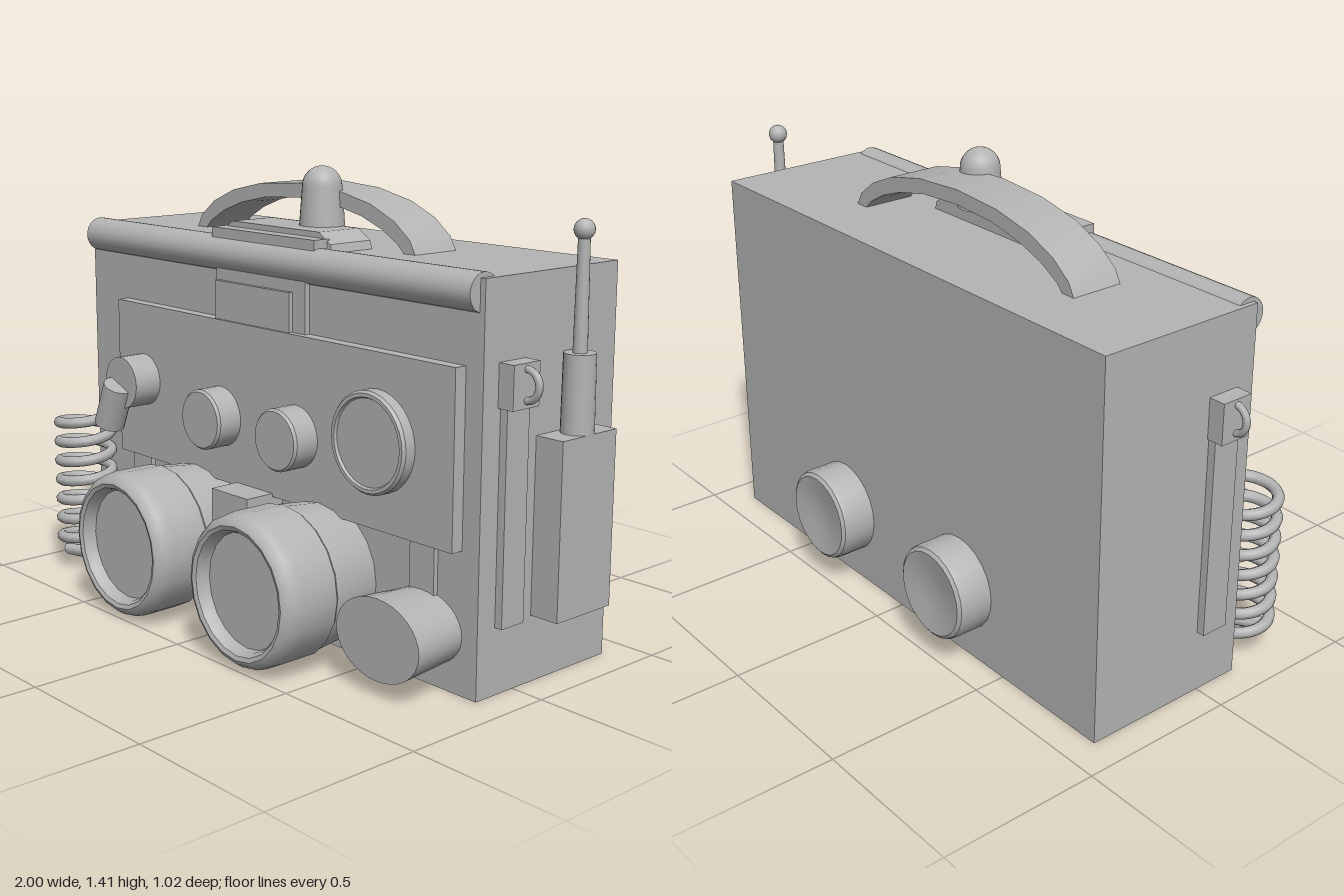
import * as THREE from 'three';
import { toCreasedNormals } from 'three/addons/utils/BufferGeometryUtils.js';

export function createModel() {
  const model = new THREE.Group();
  const grey = new THREE.MeshStandardMaterial({ color: 0xb4b4b4 });
  grey.name = 'plain grey';

  function add(name, geometry, x = 0, y = 0, z = 0) {
    const mesh = new THREE.Mesh(geometry, grey);
    mesh.name = name;
    mesh.position.set(x, y, z);
    model.add(mesh);
    return mesh;
  }
  // Box given by its limits on each axis
  const box = (name, x0, x1, y0, y1, z0, z1) =>
    add(name, new THREE.BoxGeometry(x1 - x0, y1 - y0, z1 - z0), (x0 + x1) / 2, (y0 + y1) / 2, (z0 + z1) / 2);
  // Turned part from [radius, height] pairs, standing on y
  const lathe = (points, segments = 32) =>
    toCreasedNormals(new THREE.LatheGeometry(points.map(p => new THREE.Vector2(...p)), segments), 0.6);
  // Turned part whose axis points along z
  const turned = (name, points, x, y, segments = 32) =>
    add(name, lathe(points, segments).rotateX(Math.PI / 2), x, y, 0);
  const disc = (name, x, y, r, z1) =>
    turned(name, [[r, 0.14], [r, z1], [0, z1]], x, y);
  const tube = (name, points, radius, segments) =>
    add(name, new THREE.TubeGeometry(new THREE.CatmullRomCurve3(points), segments, radius, 8));

  // Case and control panel
  box('case', -0.9, 0.893, 0, 1.175, -0.4, 0.15);
  box('controlPanel', -0.71, 0.83, 0.42, 0.935, 0.15, 0.19);
  add('frontRoll', new THREE.CylinderGeometry(0.055, 0.055, 1.76, 24).rotateZ(Math.PI / 2), -0.005, 1.135, 0.135);
  box('clipBacking', -0.21, 0.205, 0.93, 1.1, 0.15, 0.168);
  box('clipPlate', -0.2, 0.15, 0.935, 1.055, 0.16, 0.182);
  box('leftSlat', 0.645, 0.74, 0.2, 0.42, 0.15, 0.165);
  box('rightSlat', -0.675, -0.575, 0.2, 0.42, 0.15, 0.165);

  // Arched carrying handle
  const arch = [[0.51, 1.17], [0.485, 1.215], [0.42, 1.265], [0.32, 1.308], [0.18, 1.338], [0, 1.35]];
  const under = [[0.465, 1.17], [0.435, 1.2], [0.37, 1.237], [0.28, 1.27], [0.16, 1.295], [0, 1.305]];
  const mirror = pts => [...pts.map(([x, y]) => [-x, y]), ...pts.slice(0, -1).reverse()];
  const handleShape = new THREE.Shape([...mirror(arch), ...mirror(under).reverse()].map(p => new THREE.Vector2(...p)));
  add('handle', toCreasedNormals(
    new THREE.ExtrudeGeometry(handleShape, { depth: 0.17, bevelEnabled: false }), 0.5), -0.06, 0, -0.21);

  // Stepped top plate with sloping ends, and domed beacon
  const plateShape = new THREE.Shape([[-0.26, 1.17], [0.26, 1.17], [0.25, 1.2], [0.2, 1.232], [-0.2, 1.232], [-0.25, 1.2]]
    .map(p => new THREE.Vector2(...p)));
  add('topPlate', new THREE.ExtrudeGeometry(plateShape, { depth: 0.16, bevelEnabled: false }), 0, 0, -0.05);
  box('topPlateLip', -0.24, 0.235, 1.16, 1.215, 0.1, 0.16);
  const dome = [[0.07, 0], [0.061, 0.12]];
  for (let i = 1; i <= 8; i++) {
    const a = i * Math.PI / 16;
    dome.push([i === 8 ? 0 : 0.061 * Math.cos(a), 0.12 + 0.061 * Math.sin(a)]);
  }
  add('beacon', lathe(dome, 24), 0.065, 1.23, -0.025);

  // Panel knobs and dial
  for (const x of [-0.165, 0.19])
    turned('knob', [[0.095, 0.18], [0.095, 0.268], [0.088, 0.276], [0, 0.276]], x, 0.63);
  disc('socket', -0.57, 0.685, 0.085, 0.285);
  turned('dial', [[0.15, 0.18], [0.15, 0.225], [0.143, 0.234], [0.132, 0.234], [0.128, 0.226], [0, 0.226]], 0.535, 0.68);

  // Two lens barrels at the front with matching caps at the back
  const lens = [[0.205, 0.14], [0.222, 0.3], [0.222, 0.315], [0.23, 0.325], [0.231, 0.45], [0.226, 0.485],
    [0.212, 0.505], [0.2, 0.51], [0.187, 0.505], [0.177, 0.49], [0.174, 0.465], [0, 0.465]];
  const cap = [[0, -0.497], [0.06, -0.501], [0.11, -0.51], [0.132, -0.513], [0.143, -0.505], [0.147, -0.49], [0.147, -0.39]];
  for (const x of [-0.3, 0.29]) {
    turned('lens', lens, x, 0.237, 20);
    turned('backCap', cap, x, 0.235, 24);
  }
  box('lensBridge', -0.09, 0.08, 0.23, 0.43, 0.15, 0.29);
  add('crossBar', new THREE.CylinderGeometry(0.052, 0.052, 0.4, 20).rotateZ(Math.PI / 2), 0, 0.185, 0.25);

  // Oval pods beside the lenses
  turned('ovalPod', [[0.107, 0.14], [0.12, 0.335], [0, 0.335]], 0.69, 0.17).scale.x = 1.36;
  turned('hiddenOvalPod', [[0.107, 0.14], [0.12, 0.28], [0, 0.28]], -0.195, 0.17).scale.x = 1.36;

  // Coiled cable running from the plug to the lens
  const cable = [new THREE.Vector3(-0.6, 0.555, 0.29), new THREE.Vector3(-0.66, 0.55, 0.28)];
  const turns = 7;
  for (let i = 0; i <= turns * 12; i++) {
    const a = i / 12 * Math.PI * 2;
    cable.push(new THREE.Vector3(-0.81 + 0.088 * Math.cos(a), 0.535 - 0.067 * i / 12, 0.27 + 0.088 * Math.sin(a)));
  }
  cable.push(new THREE.Vector3(-0.85, 0.062, 0.33), new THREE.Vector3(-0.72, 0.05, 0.27),
    new THREE.Vector3(-0.55, 0.038, 0.23), new THREE.Vector3(-0.42, 0.04, 0.21), new THREE.Vector3(-0.32, 0.07, 0.2));
  tube('coiledCable', cable, 0.018, 480);
  const plug = add('plug', new THREE.CylinderGeometry(0.05, 0.05, 0.15, 20), -0.605, 0.607, 0.29);
  plug.rotation.z = -0.4;

  // Strap mounts with rings on both sides
  for (const [side, edge] of [[1, 0.893], [-1, -0.9]]) {
    const slab = (name, t, y0, y1, z0, z1) =>
      box(name, Math.min(edge, edge + side * t), Math.max(edge, edge + side * t), y0, y1, z0, z1);
    slab('sideStrip', 0.025, 0.2, 0.82, -0.01, 0.08);
    slab('ringMount', 0.053, 0.82, 0.945, -0.015, 0.09);
    add('strapRing', new THREE.TorusGeometry(0.043, 0.011, 8, 24), side * 0.946, 0.885, 0.037);
  }

  // Radio box and aerial on the left side
  box('radioBox', 0.893, 0.988, 0.2, 0.72, -0.3, -0.07);
  add('aerialBase', new THREE.CylinderGeometry(0.046, 0.048, 0.225, 20), 0.942, 0.832, -0.185);
  add('aerialRod', new THREE.CylinderGeometry(0.017, 0.021, 0.33, 16), 0.942, 1.105, -0.185);
  add('aerialTip', new THREE.SphereGeometry(0.03, 16, 10), 0.942, 1.282, -0.185);

  return model;
}
